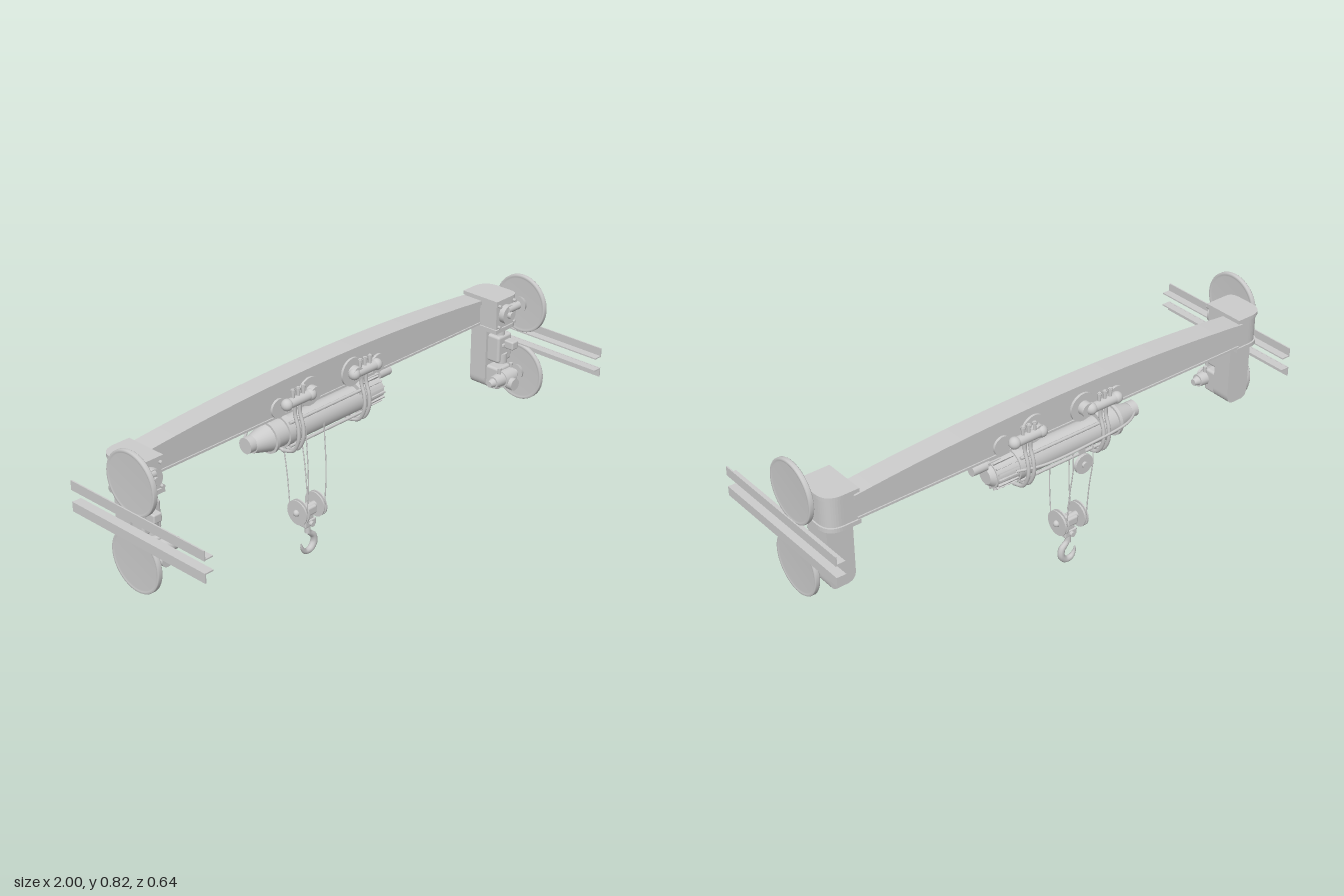
import * as THREE from 'three';
import { RoundedBoxGeometry } from 'three/addons/geometries/RoundedBoxGeometry.js';

const mat = new THREE.MeshStandardMaterial({ color: 0xcccccc, side: THREE.DoubleSide });
const V = (x, y, z) => new THREE.Vector3(x, y, z);

function add(parent, name, geo, x = 0, y = 0, z = 0) {
  const m = new THREE.Mesh(geo, mat);
  m.name = name;
  m.position.set(x, y, z);
  parent.add(m);
  return m;
}
const box = (p, n, w, h, d, x, y, z) => add(p, n, new THREE.BoxGeometry(w, h, d), x, y, z);
const rbox = (p, n, w, h, d, x, y, z, r = 0.01) => add(p, n, new RoundedBoxGeometry(w, h, d, 3, r), x, y, z);
const tube = (p, n, pts, r, seg = 24) =>
  add(p, n, new THREE.TubeGeometry(new THREE.CatmullRomCurve3(pts), seg, r, 8));

// Cylinder along a chosen axis; r2 is the radius at the positive end
function cyl(p, n, axis, r, len, x, y, z, r2 = r, seg = 32) {
  const g = new THREE.CylinderGeometry(r2, r, len, seg);
  if (axis === 'x') g.rotateZ(-Math.PI / 2);
  if (axis === 'z') g.rotateX(Math.PI / 2);
  return add(p, n, g, x, y, z);
}

// Outline in x/y extruded along z, centred on z
function plate(p, n, shape, depth, z) {
  return add(p, n, new THREE.ExtrudeGeometry(shape, { depth, bevelEnabled: false, curveSegments: 24 }), 0, 0, z - depth / 2);
}

// Bridge girder: straight underside, arched top with a projecting lip
function buildGirder(root) {
  const g = new THREE.Group();
  g.name = 'girder';
  const arch = (bottom) => {
    const s = new THREE.Shape();
    s.moveTo(-0.85, bottom ?? 0.712);
    if (bottom === undefined) s.quadraticCurveTo(0, 0.797, 0.85, 0.712);
    else s.lineTo(0.85, bottom);
    s.lineTo(0.85, 0.728);
    s.quadraticCurveTo(0, 0.812, -0.85, 0.728);
    s.closePath();
    return s;
  };
  plate(g, 'girderBody', arch(0.635), 0.074, -0.173);
  plate(g, 'girderTopLip', arch(), 0.088, -0.173);
  box(g, 'girderBottomFlange', 1.68, 0.008, 0.084, 0, 0.636, -0.173);
  root.add(g);
}

// End carriage for the +x side; the other side is mirrored
function buildEnd() {
  const g = new THREE.Group();
  g.name = 'endCarriage';
  // Head with rounded outer corners, drawn in plan (shape y is -z)
  const head = (o) => {
    const s = new THREE.Shape();
    s.moveTo(0.83 - o, 0.05 - o);
    s.lineTo(0.925, 0.05 - o);
    s.quadraticCurveTo(0.957 + o, 0.05 - o, 0.957 + o, 0.09);
    s.lineTo(0.957 + o, 0.15);
    s.quadraticCurveTo(0.957 + o, 0.216 + o, 0.89, 0.216 + o);
    s.lineTo(0.83 - o, 0.216 + o);
    s.closePath();
    return s;
  };
  for (const [n, o, y, h] of [['headBody', -0.006, 0.622, 0.124], ['headTopCap', 0, 0.735, 0.014], ['headBase', 0, 0.615, 0.016]]) {
    const e = new THREE.ExtrudeGeometry(head(o), { depth: h, bevelEnabled: false, curveSegments: 12 });
    e.rotateX(-Math.PI / 2);
    add(g, n, e, 0, y, 0);
  }
  // Hanging leg with a rounded foot
  const leg = new THREE.Shape();
  leg.moveTo(0.838, 0.63);
  leg.lineTo(0.838, 0.41);
  leg.quadraticCurveTo(0.838, 0.37, 0.875, 0.37);
  leg.lineTo(0.91, 0.37);
  leg.quadraticCurveTo(0.938, 0.37, 0.938, 0.41);
  leg.lineTo(0.938, 0.63);
  plate(g, 'leg', leg, 0.075, -0.14);
  rbox(g, 'legBracket', 0.08, 0.11, 0.07, 0.89, 0.54, -0.085);
  // Front bearing and bolts
  cyl(g, 'bearing', 'z', 0.037, 0.024, 0.887, 0.685, -0.045);
  cyl(g, 'bearingCap', 'z', 0.014, 0.02, 0.887, 0.685, -0.028);
  for (const sx of [-1, 1]) for (const sy of [-1, 1])
    cyl(g, 'headBolt', 'z', 0.007, 0.012, 0.887 + sx * 0.043, 0.685 + sy * 0.043, -0.045, 0.007, 6);
  // Pair of wheels with hubs and axles
  for (const y of [0.705, 0.42]) {
    const prof = [[0, -0.006], [0.1, -0.006], [0.106, -0.009], [0.113, -0.009], [0.115, -0.006],
      [0.115, 0.006], [0.113, 0.009], [0.106, 0.009], [0.102, 0.006], [0, 0.006]];
    const w = new THREE.LatheGeometry(prof.map(([r, h]) => new THREE.Vector2(r, h)), 64);
    w.rotateZ(-Math.PI / 2);
    add(g, 'wheel', w, 0.97, y, -0.042);
    cyl(g, 'wheelHub', 'x', 0.036, 0.02, 0.956, y, -0.042, 0.028);
    cyl(g, 'axle', 'x', 0.016, 0.08, 0.92, y, -0.042);
  }
  // Drive on the lower axle
  cyl(g, 'driveGearbox', 'x', 0.034, 0.06, 0.89, 0.42, -0.042);
  cyl(g, 'driveMotor', 'x', 0.024, 0.05, 0.838, 0.422, -0.042, 0.028);
  cyl(g, 'driveMotorCap', 'x', 0.012, 0.03, 0.806, 0.422, -0.042, 0.02);
  rbox(g, 'driveMount', 0.075, 0.09, 0.08, 0.885, 0.42, -0.085);
  cyl(g, 'driveFrontCap', 'z', 0.024, 0.03, 0.885, 0.405, -0.005);
  for (const x of [0.85, 0.92]) cyl(g, 'driveBolt', 'y', 0.008, 0.03, x, 0.455, -0.042, 0.008, 6);
  // Guide roller unit between the rails
  rbox(g, 'guideArm', 0.06, 0.018, 0.1, 0.9, 0.554, -0.095, 0.006);
  cyl(g, 'guideArmCollar', 'z', 0.013, 0.05, 0.9, 0.56, -0.06);
  rbox(g, 'guideMotor', 0.036, 0.034, 0.044, 0.9, 0.56, -0.03, 0.006);
  cyl(g, 'guidePin', 'y', 0.02, 0.05, 0.885, 0.59, -0.075);
  cyl(g, 'guidePinLower', 'y', 0.024, 0.04, 0.885, 0.5, -0.065);
  // Angle-section rails
  for (const [n, fy, wy] of [['upperRail', 0.588, 0.6025], ['lowerRail', 0.5375, 0.5225]]) {
    box(g, n + 'Flange', 0.036, 0.005, 0.64, 0.982, fy, 0);
    box(g, n + 'Web', 0.005, 0.036, 0.64, 0.9975, wy, 0);
  }
  return g;
}

// Winch slung under the girder, axis along x
function buildHoist(root) {
  const g = new THREE.Group();
  g.name = 'hoist';
  const y = 0.545, z = -0.178;
  cyl(g, 'drum', 'x', 0.044, 0.42, 0, y, z);
  cyl(g, 'leftCollar', 'x', 0.06, 0.025, -0.185, y, z);
  cyl(g, 'rightCollar', 'x', 0.06, 0.025, 0.185, y, z);
  cyl(g, 'gearbox', 'x', 0.052, 0.06, -0.225, y, z);
  cyl(g, 'gearboxFlange', 'x', 0.06, 0.012, -0.255, y, z);
  cyl(g, 'brakeCone', 'x', 0.032, 0.075, -0.295, y, z, 0.052);
  cyl(g, 'brakeCap', 'x', 0.03, 0.03, -0.345, y + 0.005, z);
  cyl(g, 'motor', 'x', 0.054, 0.1, 0.24, y, z, 0.05);
  for (let i = 0; i < 16; i++) {
    const a = i / 16 * Math.PI * 2;
    const fin = box(g, 'motorFin', 0.085, 0.01, 0.006, 0.245, y + 0.054 * Math.sin(a), z + 0.054 * Math.cos(a));
    fin.rotation.x = -a + Math.PI / 2;
  }
  cyl(g, 'motorCap', 'x', 0.046, 0.02, 0.297, y, z, 0.03);
  cyl(g, 'limitSwitch', 'x', 0.019, 0.06, 0.335, 0.59, z);
  box(g, 'limitSwitchArm', 0.09, 0.012, 0.02, 0.29, 0.592, z);
  // Curved drum shrouds front and back
  for (const a of [-0.55, Math.PI - 0.55]) {
    const s = new THREE.CylinderGeometry(0.058, 0.058, 0.34, 16, 1, true, a, 1.1);
    s.rotateZ(-Math.PI / 2);
    add(g, 'drumShroud', s, 0, y, z);
  }
  for (const sy of [-1, 1]) for (const sz of [-1, 1])
    cyl(g, 'tieRod', 'x', 0.006, 0.38, 0, y + sy * 0.045, z + sz * 0.045, 0.006, 8);
  // Control cable along the back
  tube(g, 'cable', [V(-0.35, 0.55, -0.2), V(-0.27, 0.56, -0.25), V(-0.1, 0.555, -0.262), V(0.12, 0.555, -0.262), V(0.22, 0.56, -0.24)], 0.005);
  // Trolley hangers on both faces of the girder
  for (const s of [-1, 1]) for (const x of [-0.165, 0.17]) {
    const face = -0.173 + s * 0.04, out = s > 0 ? -0.112 : -0.242;
    const dx = x < 0 ? x + 0.075 : x - 0.045;
    cyl(g, 'trolleyWheel', 'z', 0.054, 0.012, dx, 0.68, face);
    cyl(g, 'trolleyHub', 'z', 0.026, 0.034, dx, 0.68, face + s * 0.016);
    cyl(g, 'trolleyWheelSmall', 'z', 0.036, 0.012, x < 0 ? -0.24 : 0.26, 0.668, face);
    cyl(g, 'trolleyBar', 'x', 0.018, 0.11, x + 0.005, 0.68, out);
    for (const e of [-0.055, 0.06]) add(g, 'barEnd', new THREE.SphereGeometry(0.022, 16, 12), x + e, 0.68, out);
    for (const b of [-0.025, 0, 0.025]) {
      cyl(g, 'clampBolt', 'y', 0.006, 0.07, x + b, 0.695, out, 0.006, 8);
      cyl(g, 'clampNut', 'y', 0.009, 0.01, x + b, 0.722, out, 0.009, 6);
    }
    // Strap bowed around the drum
    for (const o of [-0.012, 0.012])
      tube(g, 'strap', [V(x + o, 0.69, out), V(x + o, 0.63, out - s * 0.006), V(x + o, 0.58, z + s * 0.075),
        V(x + o, 0.53, z + s * 0.076), V(x + o, 0.48, z + s * 0.05), V(x + o, 0.462, z)], 0.007);
  }
  // Deflector pulley
  cyl(g, 'deflectorPulley', 'z', 0.038, 0.012, -0.078, 0.463, -0.238);
  cyl(g, 'deflectorPin', 'z', 0.012, 0.03, -0.078, 0.463, -0.238);
  box(g, 'deflectorBracket', 0.025, 0.07, 0.008, -0.078, 0.495, -0.229);
  root.add(g);
}

// Hook block with two sheaves, ropes and hook
function buildHookBlock(root) {
  const g = new THREE.Group();
  g.name = 'hookBlock';
  const cx = -0.076, y = 0.192, z = -0.166;
  for (const s of [-1, 1]) {
    const x = cx + s * 0.045;
    for (const e of [-1, 1]) cyl(g, 'sheaveRim', 'x', 0.049, 0.005, x + e * 0.0065, y, z);
    cyl(g, 'sheaveCore', 'x', 0.04, 0.012, x, y, z);
    add(g, 'sheaveCap', new THREE.SphereGeometry(0.013, 16, 12), x + s * 0.01, y, z);
    // Rope falls on both sides of the sheave
    tube(g, 'frontRope', [V(x, y, z + 0.043), V(x, 0.34, -0.113), V(x, 0.54, -0.122)], 0.0022, 8);
    tube(g, 'rearRope', [V(x, y, z - 0.043), V(x, 0.34, -0.222), V(x, 0.47, -0.24), V(x, 0.54, -0.232)], 0.0022, 8);
  }
  cyl(g, 'sheaveAxle', 'x', 0.014, 0.1, cx, y, z);
  rbox(g, 'blockBody', 0.06, 0.035, 0.045, cx, 0.185, z, 0.008);
  box(g, 'blockNeck', 0.035, 0.03, 0.026, cx, 0.158, z);
  rbox(g, 'crosshead', 0.056, 0.028, 0.036, cx, 0.134, z, 0.005);
  cyl(g, 'crossheadPin', 'z', 0.01, 0.06, cx, 0.134, z);
  cyl(g, 'hookShank', 'y', 0.011, 0.04, cx, 0.108, z);
  // Hook thinning toward its tip
  const path = new THREE.CatmullRomCurve3([V(cx, 0.105, z), V(cx + 0.006, 0.088, z), V(cx + 0.028, 0.066, z), V(cx + 0.031, 0.038, z),
    V(cx + 0.012, 0.014, z), V(cx - 0.014, 0.013, z), V(cx - 0.03, 0.032, z), V(cx - 0.034, 0.052, z)]);
  const hook = new THREE.TubeGeometry(path, 40, 1, 10);
  const p = hook.attributes.position, v = V(0, 0, 0);
  for (let i = 0; i < p.count; i++) {
    const t = Math.floor(i / 11) / 40, c = path.getPointAt(t);
    const r = 0.009 + 0.005 * Math.sin(Math.PI * t) - 0.0065 * t ** 4;
    v.fromBufferAttribute(p, i).sub(c).multiplyScalar(r).add(c);
    p.setXYZ(i, v.x, v.y, v.z);
  }
  add(g, 'hook', hook);
  root.add(g);
}

export function createModel() {
  const root = new THREE.Group();
  root.name = 'overheadCrane';
  buildGirder(root);
  for (const s of [1, -1]) {
    const end = buildEnd();
    end.name = s > 0 ? 'leftEndCarriage' : 'rightEndCarriage';
    end.scale.x = s;
    root.add(end);
  }
  buildHoist(root);
  buildHookBlock(root);
  return root;
}
